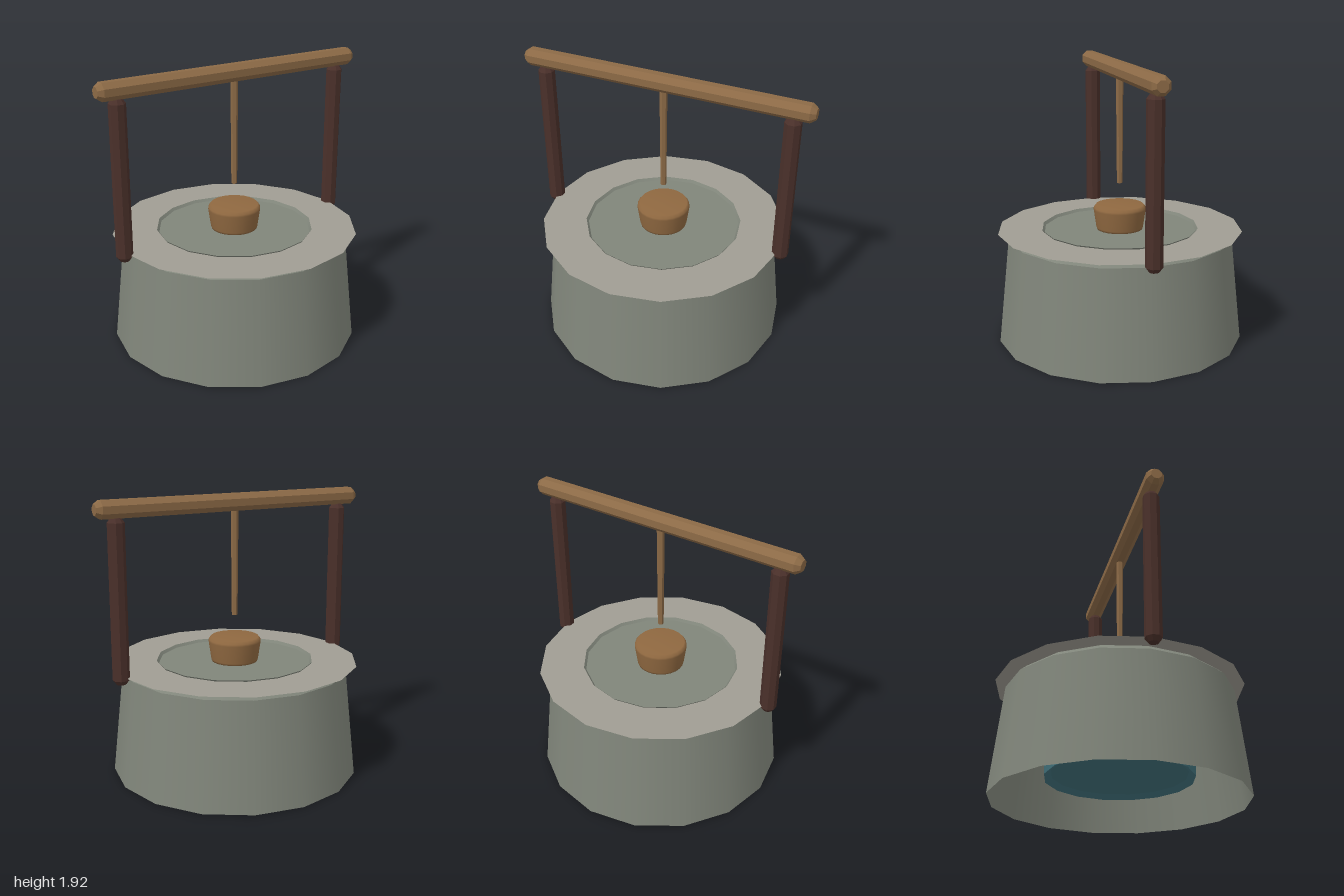
import * as THREE from 'three';

export function createModel() {
  const model = new THREE.Group();
  const mat = (name, color, extra = {}) =>
    Object.assign(new THREE.MeshStandardMaterial({ color, ...extra }), { name });
  const stone = mat('stone', 0x80857a, { side: THREE.DoubleSide });
  const rimStone = mat('rim stone', 0xa09d93, { side: THREE.DoubleSide });
  const wood = mat('wood', 0x8c6a46, { flatShading: true });
  const bucketWood = mat('bucket wood', 0x8f6840);
  const darkWood = mat('dark wood', 0x4a302a, { flatShading: true });
  const water = mat('water', 0x40707a, { side: THREE.DoubleSide });

  const add = (name, geometry, material, x = 0, y = 0, z = 0) => {
    const mesh = new THREE.Mesh(geometry, material);
    mesh.name = name;
    mesh.position.set(x, y, z);
    model.add(mesh);
    return mesh;
  };
  const lathe = (points, sides) =>
    new THREE.LatheGeometry(points.map(([r, y]) => new THREE.Vector2(r, y)), sides);

  // Flat polygon ring or disc facing up, with corners on the z axis
  const flatRing = (inner, outer) =>
    new THREE.RingGeometry(inner, outer, 16).rotateX(-Math.PI / 2);

  // Octagonal pole with chamfered ends, along y
  const pole = (length, radius, bevel) => {
    const h = length / 2, end = radius * 0.6;
    return lathe([[0, -h], [end, -h], [radius, -h + bevel], [radius, h - bevel], [end, h], [0, h]], 8)
      .rotateY(Math.PI / 8);
  };

  // Tapered outer wall, open underneath, with a chamfered shoulder
  add('wall', lathe([[0.86, 0], [0.78, 0.73]], 16), stone);
  add('wallShoulder', lathe([[0.78, 0.73], [0.73, 0.772]], 16), stone);

  // Thin overhanging rim
  add('rim', flatRing(0.54, 0.85), rimStone, 0, 0.775);

  // Shaft lining and its cover just below the rim
  add('shaftLip', lathe([[0.53, 0.765], [0.545, 0.784]], 16), stone);
  add('shaftLining', lathe([[0.5, 0.32], [0.53, 0.765]], 16), stone);
  add('shaftCover', flatRing(0, 0.53), stone, 0, 0.765);

  // Water body with a slightly recessed underside
  add('waterSide', lathe([[0.5, 0.15], [0.505, 0.34]], 16), water);
  add('waterEdge', lathe([[0.455, 0.18], [0.5, 0.15]], 16), water);
  add('waterBottom', flatRing(0, 0.455).rotateX(Math.PI), water, 0, 0.18);

  // Bucket
  add('bucket', lathe([[0, 0.766], [0.16, 0.766], [0.164, 0.78], [0.182, 0.905],
    [0.18, 0.92], [0.165, 0.938], [0, 0.938]], 24), bucketWood);

  // Frame and rope
  for (const side of [-1, 1]) {
    add(side > 0 ? 'leftPost' : 'rightPost', pole(1.08, 0.056, 0.03), darkWood, side * 0.86, 1.27);
  }
  add('crossbeam', pole(2, 0.063, 0.035).rotateZ(Math.PI / 2), wood, 0, 1.865);
  add('rope', new THREE.CylinderGeometry(0.026, 0.02, 0.74, 6), wood, 0, 1.46);

  return model;
}
